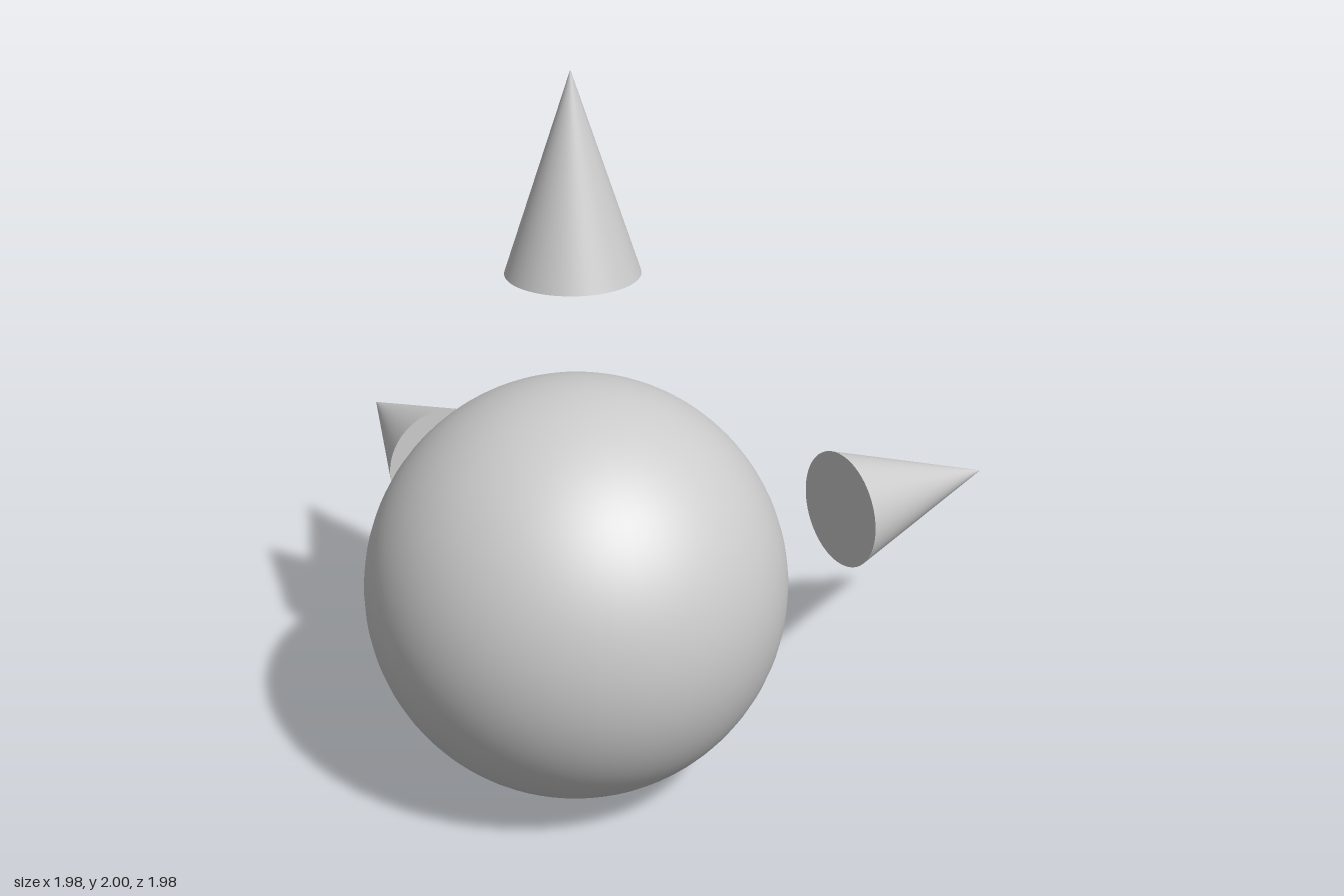
import * as THREE from 'three';

const CENTER = new THREE.Vector3(-0.415, 0.575, 0.415);
const RADIUS = 0.575;
const CONE_RADIUS = 0.175;
const CONE_LENGTH = 0.526;

export function createModel() {
  const model = new THREE.Group();
  model.name = 'ballWithAxisCones';
  const material = new THREE.MeshStandardMaterial({ color: 0xcccccc });

  // Central ball
  const ball = new THREE.Mesh(new THREE.SphereGeometry(RADIUS, 64, 48), material);
  ball.name = 'ball';
  ball.position.copy(CENTER);
  model.add(ball);

  // Cones floating off the ball, each pointing outward along an axis
  const coneGeometry = new THREE.ConeGeometry(CONE_RADIUS, CONE_LENGTH, 64);
  const up = new THREE.Vector3(0, 1, 0);
  const addCone = (name, direction, tipDistance) => {
    const cone = new THREE.Mesh(coneGeometry, material);
    cone.name = name;
    cone.quaternion.setFromUnitVectors(up, direction);
    cone.position.copy(CENTER).addScaledVector(direction, tipDistance - CONE_LENGTH / 2);
    model.add(cone);
  };
  addCone('topCone', up, 1.425);
  addCone('leftCone', new THREE.Vector3(1, 0, 0), 1.403);
  addCone('backCone', new THREE.Vector3(0, 0, -1), 1.403);

  return model;
}
